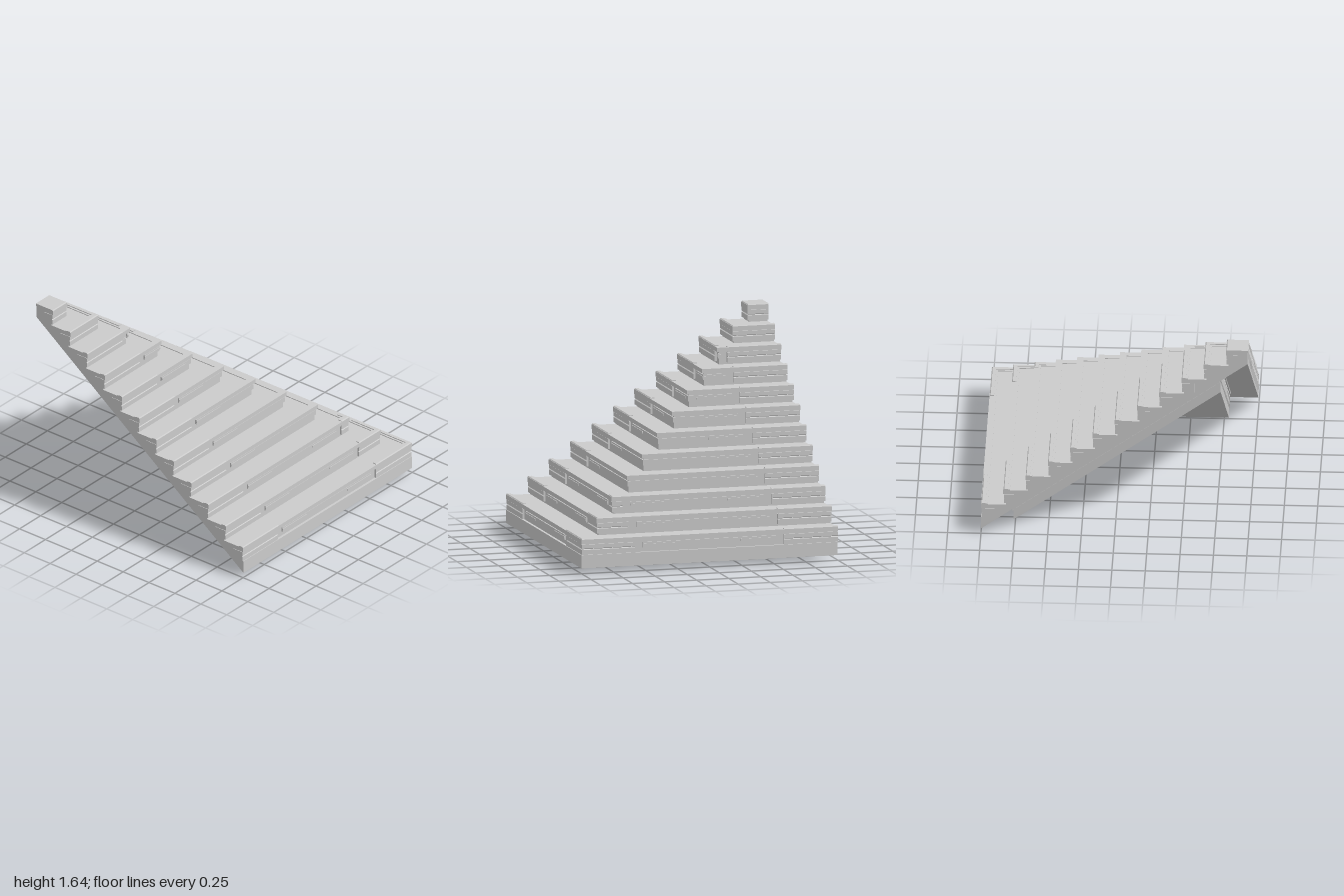
import * as THREE from 'three';

// Quarter of a hipped roof. d is the distance from the peak at (-1, 1):
// one slope falls towards +x (x = d - 1), the other towards -z (z = 1 - d).
const STEPS = 12, RUN = 2 / STEPS, RISE = 0.1247, TOP = 1.635;
const under = (d) => 1.52 - 0.74 * d;
const material = new THREE.MeshStandardMaterial({ color: 0xcccccc, flatShading: true });

// Sweeps a counter-clockwise (d, y) profile through stations; each maps d to [x, z].
function sweep(profile, stations) {
  const pos = [];
  const rings = stations.map((s) => profile.map(([d, y]) => {
    const [x, z] = s(d);
    return [x, y, z];
  }));
  const n = profile.length;
  for (let s = 0; s < rings.length - 1; s++) {
    const p = rings[s], q = rings[s + 1];
    for (let i = 0; i < n; i++) {
      const j = (i + 1) % n;
      pos.push(...p[i], ...q[i], ...p[j], ...q[i], ...q[j], ...p[j]);
    }
  }
  const caps = THREE.ShapeUtils.triangulateShape(profile.map(([d, y]) => new THREE.Vector2(d, y)), []);
  const last = rings[rings.length - 1];
  for (const [a, b, c] of caps) {
    pos.push(...rings[0][a], ...rings[0][b], ...rings[0][c]);
    pos.push(...last[a], ...last[c], ...last[b]);
  }
  const geometry = new THREE.BufferGeometry();
  geometry.setAttribute('position', new THREE.Float32BufferAttribute(pos, 3));
  geometry.computeVertexNormals();
  return geometry;
}

const rect = (d0, d1, y0, y1) => [[d0, y0], [d1, y0], [d1, y1], [d0, y1]];

export function createModel() {
  const model = new THREE.Group();
  const add = (name, geometry, parent = model) => {
    const mesh = new THREE.Mesh(geometry, material);
    mesh.name = name;
    parent.add(mesh);
    return mesh;
  };

  // L-shaped run mitred over the hip, its two ends at z = a and x = -a
  const corner = (name, profile, a, parent) => add(name, sweep(profile, [
    (d) => [d - 1, a], (d) => [d - 1, 1 - d], (d) => [-a, 1 - d],
  ]), parent);

  // straight run from a down to b on both slopes
  const pair = (name, profile, a, b, parent) => {
    add(name, sweep(profile, [(d) => [d - 1, a], (d) => [d - 1, b]]), parent);
    add(name, sweep(profile, [(d) => [-b, 1 - d], (d) => [-a, 1 - d]]), parent);
  };

  // run that turns the hip when it would otherwise pass it
  const run = (name, profile, a, b, d, parent) => {
    if (1 - d > a - 0.01) return;
    if (1 - d > b) corner(name, profile, a, parent);
    else pair(name, profile, a, b, parent);
  };

  // stepped roof body with a straight underside and a fascia at the eaves
  const stair = [[0.004, under(0.004)], [2, under(2)], [2, 0.14]];
  for (let k = STEPS - 1; k >= 0; k--) {
    const d = RUN * (k + 1) - 0.02, y = TOP - RISE * k - 0.012;
    stair.push([d, k === STEPS - 1 ? 0.14 : y - RISE], [d, y]);
  }
  stair.push([0.004, TOP - 0.012]);
  corner('steppedRoof', stair, 0.996);

  // edge trim of every step
  for (let k = 0; k < STEPS; k++) {
    const step = new THREE.Group();
    step.name = 'stepTrim';
    model.add(step);
    const d = RUN * (k + 1), y = TOP - RISE * k;
    const inner = Math.max(d - 0.1, 0.08);
    const lip = rect(d - 0.05, d, y - 0.038, y - 0.006);
    corner('stepLip', lip, 0.996, step);

    const raised = [[d - 0.034, y - 0.042], [d, y - 0.042], [d, y - 0.008], [d - 0.008, y], [d - 0.034, y]];
    const block = [
      [inner, y - 0.122], [d - 0.004, y - 0.122], [d - 0.004, y - 0.085],
      [d - 0.012, y - 0.08], [d - 0.004, y - 0.075], [d - 0.004, y - 0.045], [inner, y - 0.045],
    ];
    run('raisedEndLip', raised, 1, 0.58, d, step);
    run('endBlock', block, 1, 0.58, d, step);
    if (1 - d < -0.6) {
      corner('raisedHipLip', raised, -0.58, step);
      corner('hipBlock', block, -0.58, step);
    }
    // thin boards under the lip between the end blocks
    run('riserBoard', rect(d - 0.06, d - 0.01, y - 0.09, y - 0.05), 0.52, -0.52, d, step);
    run('riserCleat', rect(d - 0.06, d - 0.005, y - 0.078, y - 0.062), 0.52, 0.24, d, step);
    if (1 - d < -0.52) pair('riserCleat', rect(d - 0.06, d - 0.005, y - 0.078, y - 0.062), -0.24, -0.52, step);
  }
  // cap on the peak
  add('peakCap', new THREE.BoxGeometry(0.14, 0.02, 0.14)).position.set(-0.93, TOP - 0.01, 0.93);

  // sloping layer, parallel to the underside of the roof
  const layer = (d0, d1, t0, t1) => [
    [d0, under(d0) - t1], [d1, under(d1) - t1], [d1, under(d1) - t0], [d0, under(d0) - t0],
  ];
  corner('ribbedLayer', layer(0.222, 1.775, -0.005, 0.14), 0.778);
  corner('ribbedLayerTopEdge', layer(0.2, 1.8, -0.005, 0.015), 0.8);
  corner('lowerSlab', layer(0.215, 1.72, 0.13, 0.217), 0.785);

  // eave of the lower slab, broken in the middle
  const eave = layer(1.7, 1.765, 0.13, 0.214);
  pair('lowerEave', eave, 0.785, 0.22);
  corner('lowerEave', eave, -0.2);
  pair('lowerEaveMiddle', layer(1.7, 1.74, 0.13, 0.214), 0.09, -0.08);

  // ribs on the sloping ends and along the eaves, mirrored across the hip
  const ribs = new THREE.Group();
  ribs.name = 'ribs';
  model.add(ribs);
  const N = 34;
  const endRib = new THREE.BoxGeometry(0.022, 0.105, 0.02);
  const eaveRib = new THREE.BoxGeometry(0.02, 0.11, 0.022);
  for (let i = 0; i < N; i++) {
    const t = -0.755 + (1.51 * i) / (N - 1);
    const y = under(t + 1) - 0.073;
    const lean = 0.12 + 0.08 * Math.sin(i * 2.1);
    const front = add('endRib', endRib, ribs);
    front.position.set(t, y, 0.782);
    front.rotation.z = lean;
    const side = add('endRib', eaveRib, ribs);
    side.position.set(-0.782, y, -t);
    side.rotation.x = lean;
    add('eaveRib', eaveRib, ribs).position.set(0.779, under(1.78) - 0.073, t);
    add('eaveRib', endRib, ribs).position.set(t, under(1.78) - 0.073, -0.779);
  }
  return model;
}
